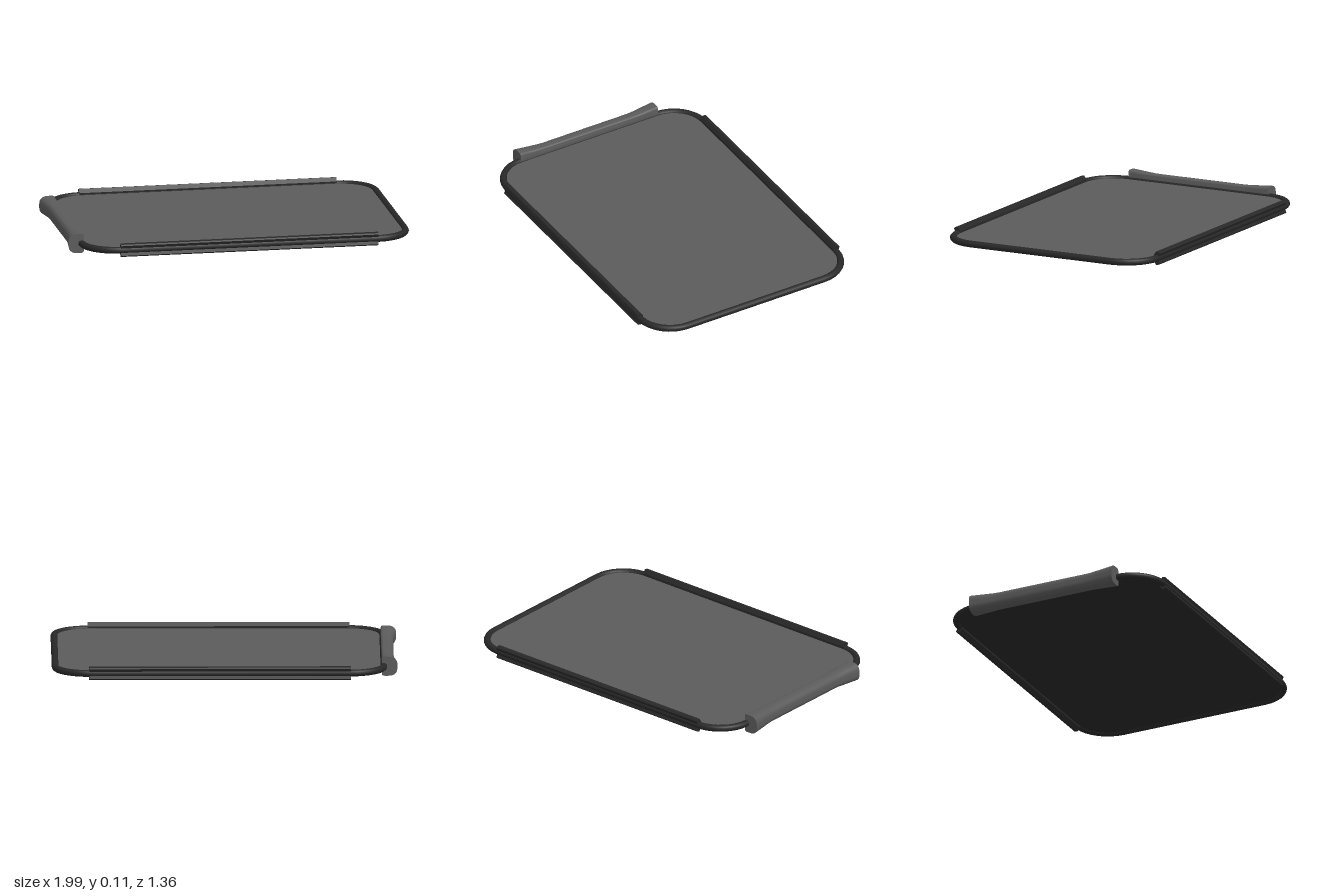
import * as THREE from 'three';
import { toCreasedNormals } from 'three/addons/utils/BufferGeometryUtils.js';

const MID_Y = 0.057;
const CENTER_X = 0.027;

const black = new THREE.MeshStandardMaterial({ color: 0x282828 });
black.name = 'black frame';
const gray = new THREE.MeshStandardMaterial({ color: 0x5b5b5b });
gray.name = 'gray surface';

function add(group, name, geometry, material) {
  const mesh = new THREE.Mesh(geometry, material);
  mesh.name = name;
  group.add(mesh);
  return mesh;
}

// Rounded rectangle outline centred on the origin
function roundedRect(hw, hh, r) {
  const s = new THREE.Shape();
  s.moveTo(hw, -hh + r);
  s.lineTo(hw, hh - r);
  s.absarc(hw - r, hh - r, r, 0, Math.PI / 2);
  s.lineTo(-hw + r, hh);
  s.absarc(-hw + r, hh - r, r, Math.PI / 2, Math.PI);
  s.lineTo(-hw, -hh + r);
  s.absarc(-hw + r, -hh + r, r, Math.PI, Math.PI * 1.5);
  s.lineTo(hw - r, -hh);
  s.absarc(hw - r, -hh + r, r, Math.PI * 1.5, Math.PI * 2);
  return s;
}

// Closed path that the frame tube follows, lying flat
class FramePath extends THREE.Curve {
  constructor(shape) {
    super();
    this.shape = shape;
  }
  getPoint(t, target = new THREE.Vector3()) {
    const p = this.shape.getPointAt(t % 1);
    return target.set(p.x, 0, -p.y);
  }
}

function plate(thickness) {
  const g = new THREE.ExtrudeGeometry(roundedRect(0.948, 0.655, 0.19), {
    depth: thickness, bevelEnabled: false, curveSegments: 16,
  });
  return g.rotateX(-Math.PI / 2);
}

// Grip with a D-shaped section, flaring towards both ends
function handleGeometry() {
  const w = 0.071, h = 0.046, r = 0.04, c = 0.012;
  const s = new THREE.Shape();
  s.moveTo(0, -h + c);
  s.lineTo(0, h - c);
  s.quadraticCurveTo(0, h, -c, h);
  s.lineTo(-w + r, h);
  s.quadraticCurveTo(-w, h, -w, h - r);
  s.lineTo(-w, -h + r);
  s.quadraticCurveTo(-w, -h, -w + r, -h);
  s.lineTo(-c, -h);
  s.quadraticCurveTo(0, -h, 0, -h + c);
  const g = new THREE.ExtrudeGeometry(s, { depth: 0.92, steps: 24, bevelEnabled: false, curveSegments: 8 });
  g.translate(0, 0, -0.46);
  const p = g.attributes.position;
  for (let i = 0; i < p.count; i++) {
    const f = Math.max(0, (Math.abs(p.getZ(i)) - 0.3) / 0.16);
    p.setX(i, p.getX(i) * (1 + 0.27 * f));
    p.setY(i, p.getY(i) * (1 + 0.22 * f));
  }
  return toCreasedNormals(g, 0.6);
}

// Long edge rail: a bow-shaped section with a shallow outer groove
function railGeometry() {
  const half = [[0.638, 0.018], [0.653, 0.04], [0.672, 0.036], [0.678, 0.029], [0.669, 0.008]];
  const pts = [
    ...half.map(([z, y]) => new THREE.Vector2(z, y)),
    ...half.slice().reverse().map(([z, y]) => new THREE.Vector2(z, -y)),
  ];
  const g = new THREE.ExtrudeGeometry(new THREE.Shape(pts), { depth: 1.51, bevelEnabled: false });
  // Section x becomes +z, extrusion runs along x
  g.rotateY(-Math.PI / 2);
  return g.translate(0.78, MID_Y, 0);
}

export function createModel() {
  const model = new THREE.Group();
  model.name = 'framed tray';

  // Tubular frame
  const path = new FramePath(roundedRect(0.948, 0.656, 0.2));
  const frame = add(model, 'frame', new THREE.TubeGeometry(path, 160, 0.02, 14, true), black);
  frame.position.set(CENTER_X, MID_Y, 0);

  // Panel: gray on top, black underneath
  add(model, 'panelTop', plate(0.006), gray).position.set(CENTER_X, 0.056, 0);
  add(model, 'panelUnderside', plate(0.006), black).position.set(CENTER_X, 0.05, 0);

  // Edge rails, front and back
  add(model, 'frontRail', railGeometry(), black);
  const back = add(model, 'backRail', railGeometry(), black);
  back.rotation.y = Math.PI;
  back.position.x = 2 * CENTER_X - 0.004;

  // Handle on the short side
  add(model, 'handle', handleGeometry(), gray).position.set(-0.909, MID_Y + 0.001, 0);

  return model;
}
